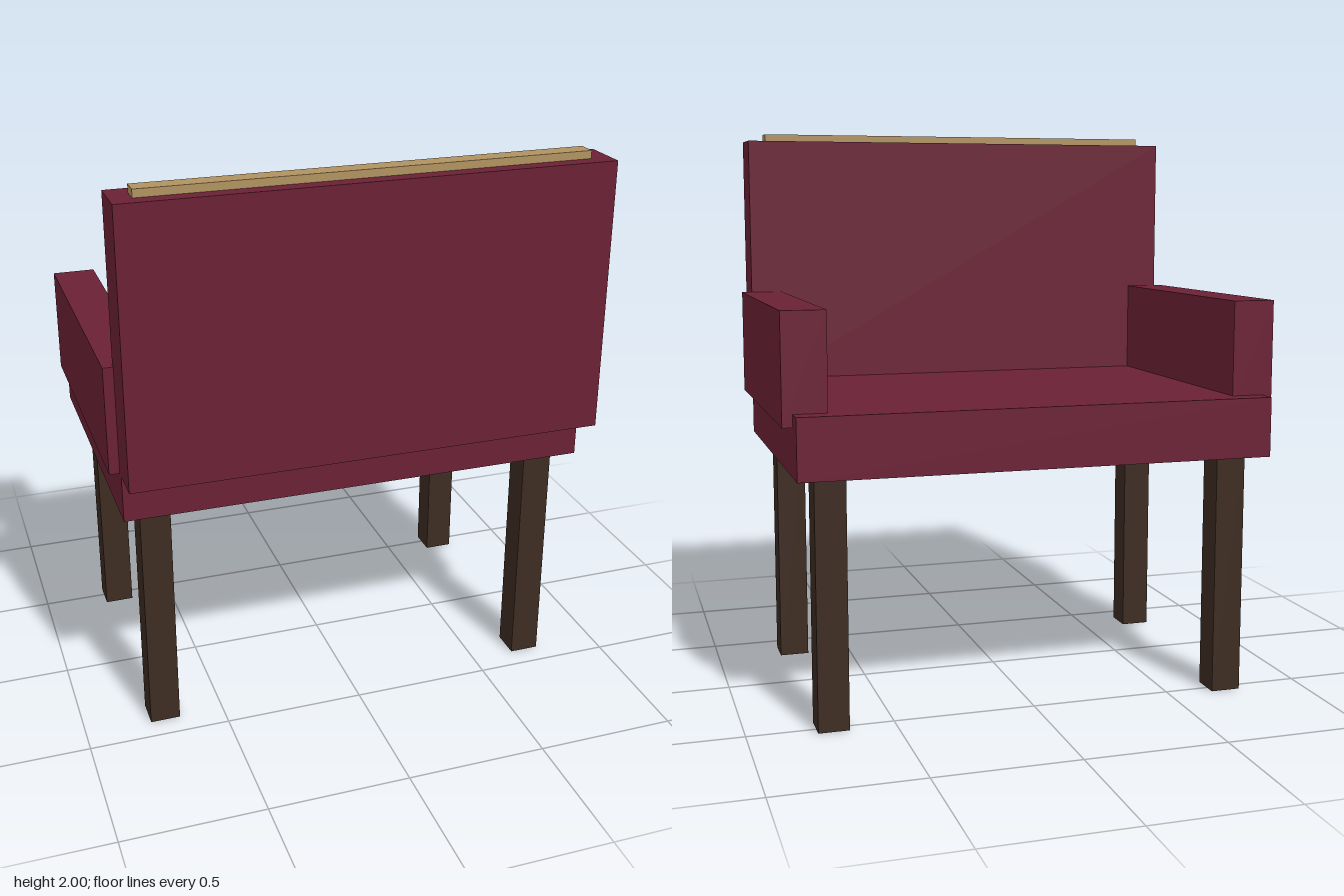
import * as THREE from 'three';

export function createModel() {
  const model = new THREE.Group();
  model.name = 'armchair';

  const material = (name, color) => {
    const m = new THREE.MeshStandardMaterial({ color });
    m.name = name;
    return m;
  };
  const upholstery = material('burgundy upholstery', 0x6b2135);
  const wood = material('dark wood', 0x3d2c21);
  const brass = material('brass trim', 0xb09260);

  // Box given by its extents along each axis
  const box = (name, mat, [x0, x1], [y0, y1], [z0, z1]) => {
    const mesh = new THREE.Mesh(new THREE.BoxGeometry(x1 - x0, y1 - y0, z1 - z0), mat);
    mesh.position.set((x0 + x1) / 2, (y0 + y1) / 2, (z0 + z1) / 2);
    mesh.name = name;
    model.add(mesh);
  };

  // Seat and backrest; the backrest stands at +z
  box('seat', upholstery, [-0.83, 0.83], [0.86, 1.07], [-0.61, 0.48]);
  box('backrest', upholstery, [-0.83, 0.83], [1.027, 1.973], [0.44, 0.61]);

  // Trim strip along the top of the backrest
  box('topTrim', brass, [-0.76, 0.76], [1.95, 2], [0.492, 0.558]);

  // Armrests and legs, mirrored left and right
  for (const [side, s] of [['left', 1], ['right', -1]]) {
    const span = (a, b) => (s > 0 ? [a, b] : [-b, -a]);
    box(side + 'Armrest', upholstery, span(0.715, 0.865), [1.027, 1.403], [-0.54, 0.455]);
    box(side + 'LegByBackrest', wood, span(0.66, 0.766), [0, 0.86], [0.312, 0.418]);
    box(side + 'LegBySeatEdge', wood, span(0.66, 0.766), [0, 0.86], [-0.542, -0.436]);
  }

  return model;
}
